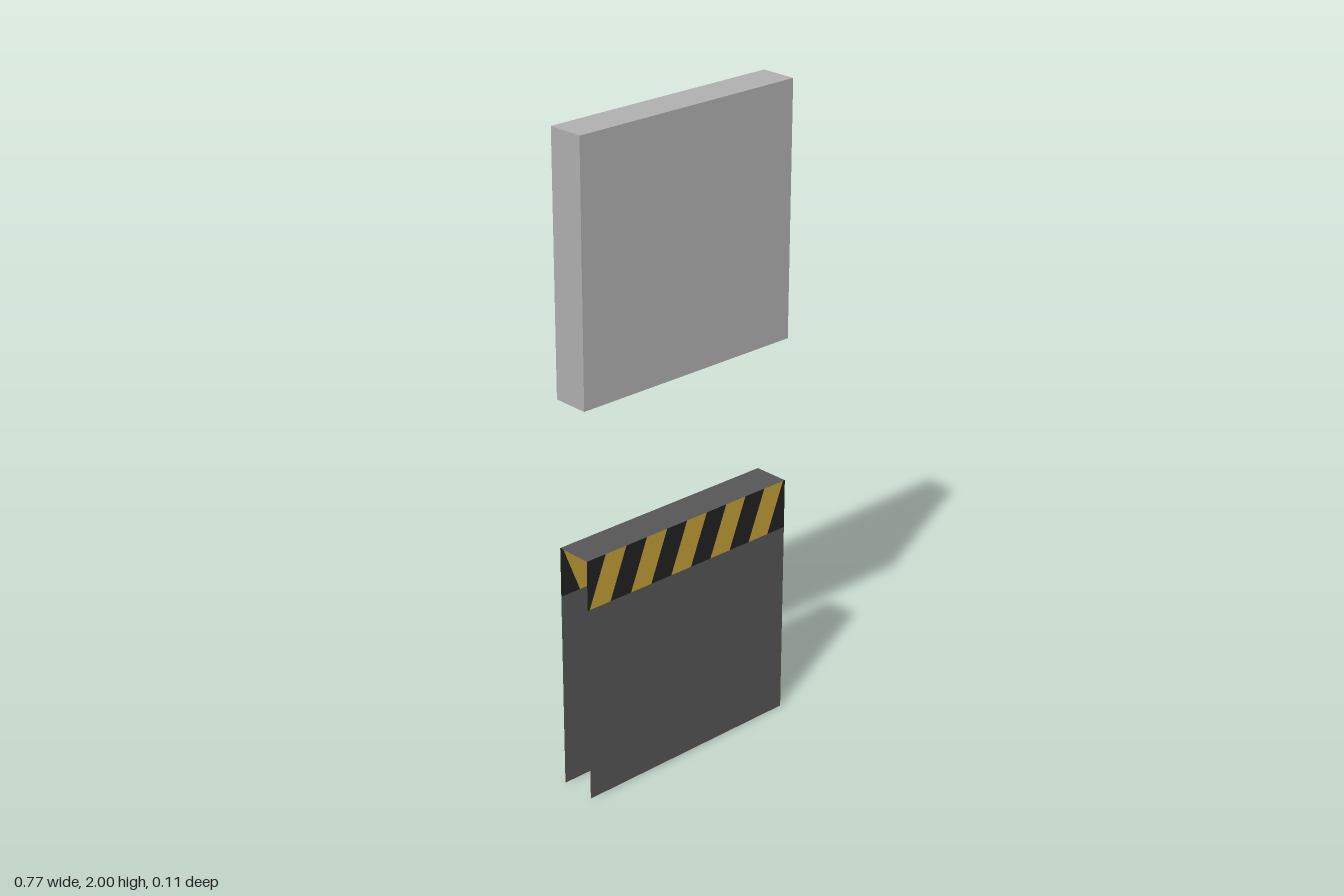
import * as THREE from 'three';

const W = 0.773, D = 0.114, H = 0.773; // panel width, depth and height
const BAND = 0.155;                    // height of the striped band

export function createModel() {
  const mat = (name, color, side = THREE.FrontSide) => {
    const m = new THREE.MeshStandardMaterial({ color, side });
    m.name = name;
    return m;
  };
  const lightGrey = mat('light grey', 0xb0b0b0);
  const darkGrey = mat('dark grey', 0x565656, THREE.DoubleSide);
  const black = mat('stripe black', 0x222222, THREE.DoubleSide);
  const yellow = mat('stripe yellow', 0xc4a036, THREE.DoubleSide);

  const model = new THREE.Group();
  model.name = 'hazardDoor';
  const add = (parent, name, geometry, material, x = 0, y = 0, z = 0) => {
    const mesh = new THREE.Mesh(geometry, material);
    mesh.name = name;
    mesh.position.set(x, y, z);
    parent.add(mesh);
    return mesh;
  };

  // Raised solid block
  add(model, 'upperBlock', new THREE.BoxGeometry(W, H, D), lightGrey, 0, 2 - H / 2, 0);

  // Lower shell: open at the sides and the bottom
  const lid = add(model, 'shellTop', new THREE.PlaneGeometry(W, D), darkGrey, 0, H, 0);
  lid.rotation.x = -Math.PI / 2;

  // One slanted stripe, cut off at the panel edges
  const clampX = (u) => (THREE.MathUtils.clamp(u, 0, 1) - 0.5) * W;
  const stripe = (u) => new THREE.ShapeGeometry(new THREE.Shape([
    new THREE.Vector2(clampX(u - 0.08), H - BAND),
    new THREE.Vector2(clampX(u + 0.02), H - BAND),
    new THREE.Vector2(clampX(u + 0.1), H),
    new THREE.Vector2(clampX(u), H),
  ]));

  // Front and back sheets, each with a band of stripes along the top
  for (const [name, turn] of [['frontPanel', 0], ['backPanel', Math.PI]]) {
    const panel = new THREE.Group();
    panel.name = name;
    panel.rotation.y = turn;
    const h = H - BAND;
    add(panel, 'panelSheet', new THREE.PlaneGeometry(W, h), darkGrey, 0, h / 2, D / 2);
    for (let i = 0; i < 11; i++) {
      const gold = i % 2 === 1;
      add(panel, gold ? 'yellowStripe' : 'blackStripe', stripe(-0.01 + i * 0.1), gold ? yellow : black, 0, 0, D / 2);
    }
    model.add(panel);
  }
  return model;
}
